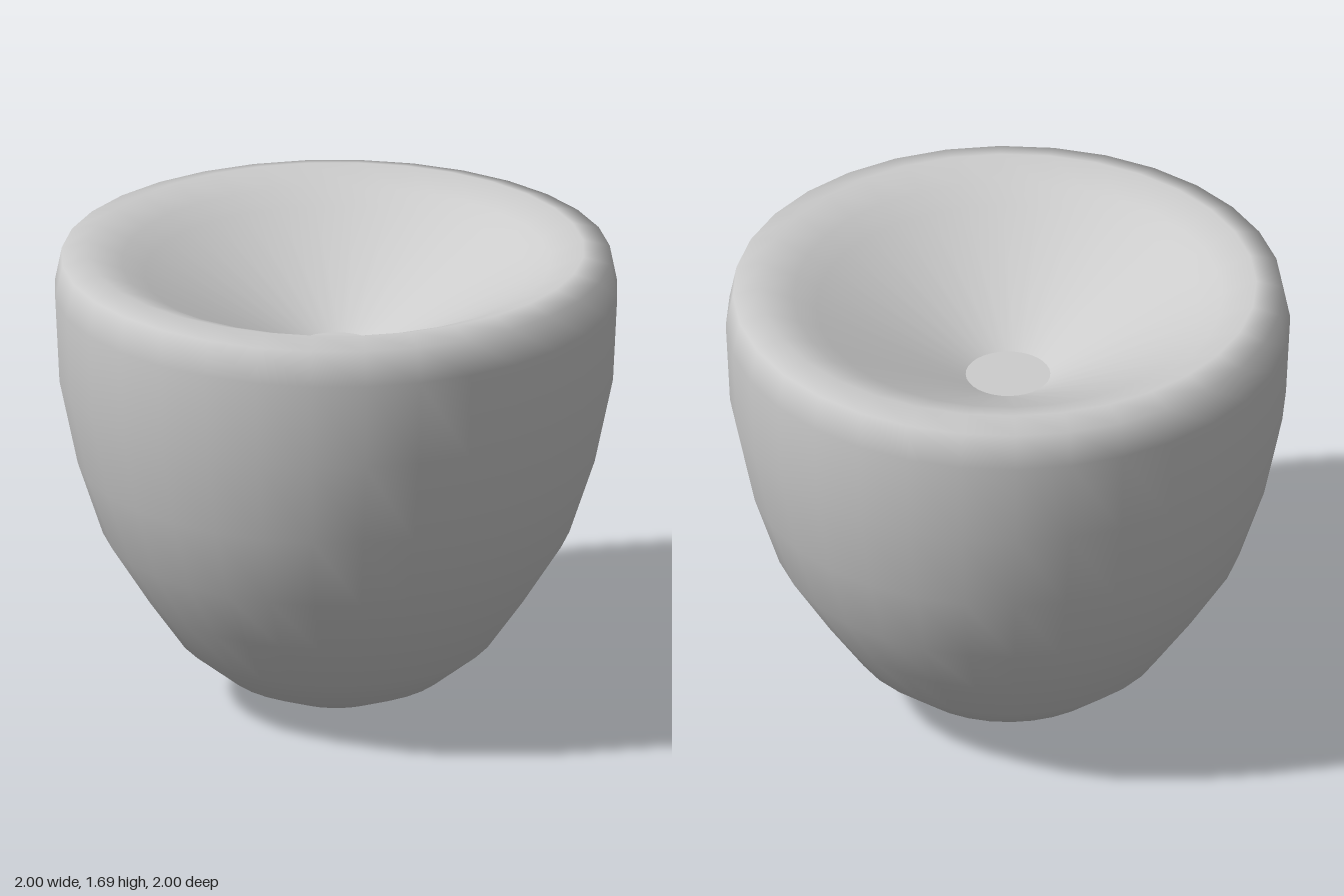
import * as THREE from 'three';

const SEGMENTS = 32;

// Revolves a list of [radius, height] pairs around the y axis
function revolve(name, profile, material) {
  const points = profile.map(([r, y]) => new THREE.Vector2(r, y));
  const mesh = new THREE.Mesh(new THREE.LatheGeometry(points, SEGMENTS), material);
  mesh.name = name;
  return mesh;
}

export function createModel() {
  const model = new THREE.Group();
  model.name = 'cup';
  const grey = new THREE.MeshStandardMaterial({ color: 0xcccccc });
  grey.name = 'light grey';

  // Rounded outer shell, turning over the rim into the conical hollow
  model.add(revolve('shell', [
    [0, 0], [0.2, 0.03], [0.39, 0.11], [0.56, 0.245], [0.69, 0.43],
    [0.83, 0.65], [0.92, 0.92], [0.985, 1.23], [1, 1.54], [0.975, 1.665],
    [0.88, 1.69], [0.76, 1.645], [0.68, 1.602], [0.15, 1.32],
  ], grey));

  // Flat disc closing the bottom of the hollow
  const disc = new THREE.Mesh(new THREE.CircleGeometry(0.15, SEGMENTS), grey);
  disc.name = 'hollowFloor';
  disc.rotation.x = -Math.PI / 2;
  disc.position.y = 1.32;
  model.add(disc);

  return model;
}
